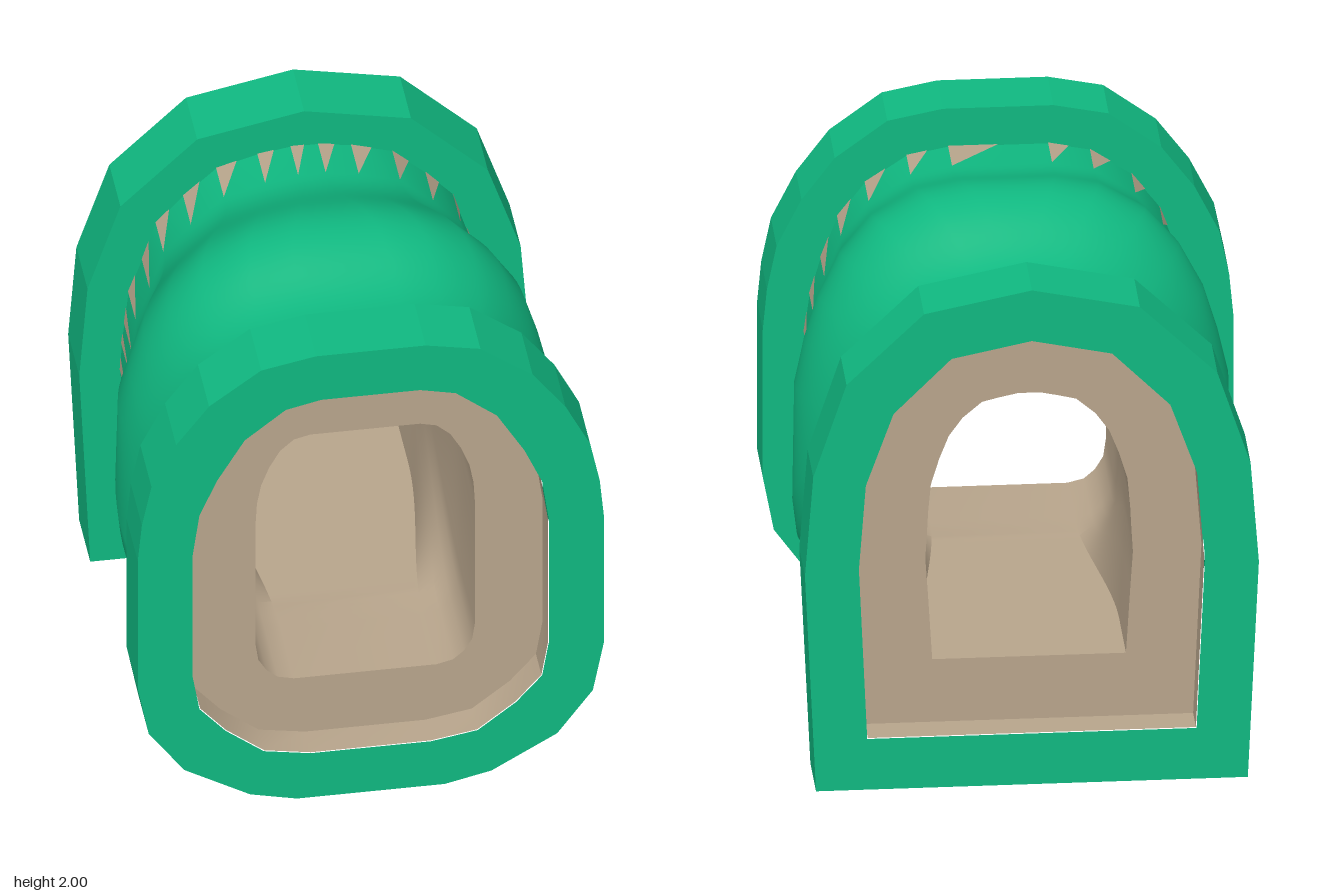
import * as THREE from 'three';
import { toCreasedNormals } from 'three/addons/utils/BufferGeometryUtils.js';

// Half profiles run from the top centre down the +x side to the bottom.
const frontFlange = [[0.2, 2], [0.4, 1.96], [0.59, 1.82], [0.71, 1.66], [0.8, 1.48], [0.835, 1.31], [0.85, 1.15],
  [0.85, 0.57], [0.81, 0.36], [0.68, 0.18], [0.44, 0.04], [0.27, 0]];
const frontRecess = [[0.18, 1.8], [0.31, 1.77], [0.46, 1.65], [0.56, 1.48], [0.625, 1.33], [0.65, 1.15],
  [0.65, 0.6], [0.625, 0.45], [0.53, 0.34], [0.39, 0.23], [0.22, 0.2]];
const frontBody = [[0.18, 1.85], [0.33, 1.82], [0.48, 1.72], [0.58, 1.59], [0.64, 1.43], [0.68, 1.29], [0.7, 1.14],
  [0.7, 0.57], [0.67, 0.43], [0.56, 0.28], [0.4, 0.18], [0.22, 0.15]];
const frontBore = [[0.2, 1.55], [0.26, 1.535], [0.31, 1.49], [0.35, 1.42], [0.38, 1.34], [0.395, 1.26], [0.4, 1.17],
  [0.4, 0.62], [0.39, 0.55], [0.36, 0.5], [0.32, 0.465], [0.26, 0.45]];
const backFlange = [[0, 1.95], [0.39, 1.87], [0.67, 1.6], [0.79, 1.24], [0.82, 0.85], [0.78, 0]];
const backRecess = [[0, 1.75], [0.29, 1.69], [0.5, 1.48], [0.6, 1.2], [0.625, 0.87], [0.595, 0.2]];
const backBody = [[0.05, 1.795], [0.17, 1.775], [0.32, 1.73], [0.44, 1.62], [0.54, 1.51], [0.59, 1.35], [0.64, 1.21],
  [0.655, 1.07], [0.665, 0.98], [0.67, 0.86], [0.66, 0.62], [0.635, 0.15]];
const backBore = [[0.04, 1.49], [0.11, 1.475], [0.17, 1.46], [0.24, 1.4], [0.29, 1.33], [0.325, 1.24], [0.355, 1.14],
  [0.365, 1.03], [0.37, 0.93], [0.375, 0.85], [0.365, 0.7], [0.35, 0.45]];

const mirror = half => [...half, ...half.filter(p => p[0] > 0).reverse().map(([x, y]) => [-x, y])];
const at = (pts, z) => pts.map(([x, y]) => [x, y, z]);
const mix = (a, b, t) => a.map((p, i) => [p[0] + (b[i][0] - p[0]) * t, p[1] + (b[i][1] - p[1]) * t]);
const grow = (pts, kx, ky = kx) => pts.map(([x, y]) => [x * kx, 1 + (y - 1) * ky]);

function fromTriangles(tris) {
  const geo = new THREE.BufferGeometry();
  geo.setAttribute('position', new THREE.Float32BufferAttribute(tris.flat(2), 3));
  geo.computeVertexNormals();
  return geo;
}

// Skins a list of rings ordered front to back; inside turns the surface inward
function loft(rings, inside = false) {
  const tris = [];
  for (let r = 0; r < rings.length - 1; r++) {
    const a = rings[r], b = rings[r + 1], n = a.length;
    for (let i = 0; i < n; i++) {
      const j = (i + 1) % n;
      for (const [p, q, s] of [[a[i], a[j], b[i]], [a[j], b[j], b[i]]]) tris.push(inside ? [p, s, q] : [p, q, s]);
    }
  }
  return toCreasedNormals(fromTriangles(tris), 0.5);
}

function plateShape(outer, hole) {
  const toVec = pts => mirror(pts).map(p => new THREE.Vector2(...p));
  const shape = new THREE.Shape(toVec(outer));
  shape.holes.push(new THREE.Path(toVec(hole)));
  return shape;
}

export function createModel() {
  const green = new THREE.MeshStandardMaterial({ color: 0x10b981 });
  green.name = 'green';
  const tan = new THREE.MeshStandardMaterial({ color: 0xb8a58c });
  tan.name = 'tan';
  const model = new THREE.Group();
  model.name = 'tunnelSection';
  const add = (name, geo, mat) => {
    const mesh = new THREE.Mesh(geo, mat);
    mesh.name = name;
    model.add(mesh);
    return mesh;
  };

  const ends = [
    { name: 'front', s: 1, flange: frontFlange, recess: frontRecess, bore: frontBore, body: mirror(frontBody) },
    { name: 'back', s: -1, flange: backFlange, recess: backRecess, bore: backBore, body: mirror(backBody) },
  ];
  for (const { name, s, flange, recess, bore, body } of ends) {
    // Flange ring
    const ring = new THREE.ExtrudeGeometry(plateShape(flange, recess), { depth: 0.25, bevelEnabled: false });
    add(name + 'Flange', ring, green).position.z = s > 0 ? 0.625 : -0.875;

    // Tan lining of the recess and the wall end inside it
    const lip = grow(mirror(recess), 0.996);
    const zs = s > 0 ? [0.874, 0.75] : [-0.75, -0.874];
    add(name + 'RecessLining', loft(zs.map(z => at(lip, z)), true), tan);
    const face = add(name + 'WallEnd', new THREE.ShapeGeometry(plateShape(recess, bore)), tan);
    face.position.z = 0.75 * s;
    if (s < 0) face.rotation.y = Math.PI;

    // Row of thin triangular teeth around the collar
    const skin = grow(body, 1.004), n = skin.length;
    const teeth = skin.map((p, i) => {
      const q = skin[(i - s + n) % n];
      const tip = [...p, 0.45 * s], base = [...p, 0.625 * s];
      const mid = [(p[0] + q[0]) / 2, (p[1] + q[1]) / 2, 0.625 * s];
      return s > 0 ? [mid, base, tip] : [tip, mid, base];
    });
    add(name + 'CollarTeeth', fromTriangles(teeth), tan);
  }

  // Outer body: blends between the end profiles and swells in the middle
  const steps = 28;
  const shell = [at(ends[0].body, 0.7)];
  const bore = [at(mirror(frontBore), 0.75)];
  for (let k = 0; k <= steps; k++) {
    const t = k / steps, z = 0.45 - 0.9 * t;
    const blend = t * t * (3 - 2 * t);
    const swell = 0.5 - 0.5 * Math.cos(2 * Math.PI * t);
    shell.push(at(grow(mix(ends[0].body, ends[1].body, blend), 1 + 0.165 * swell, 1 + 0.143 * swell), z));
    bore.push(at(mix(mirror(frontBore), mirror(backBore), blend), z));
  }
  shell.push(at(ends[1].body, -0.7));
  bore.push(at(mirror(backBore), -0.75));
  add('body', loft(shell), green);
  add('boreWall', loft(bore, true), tan);
  return model;
}
